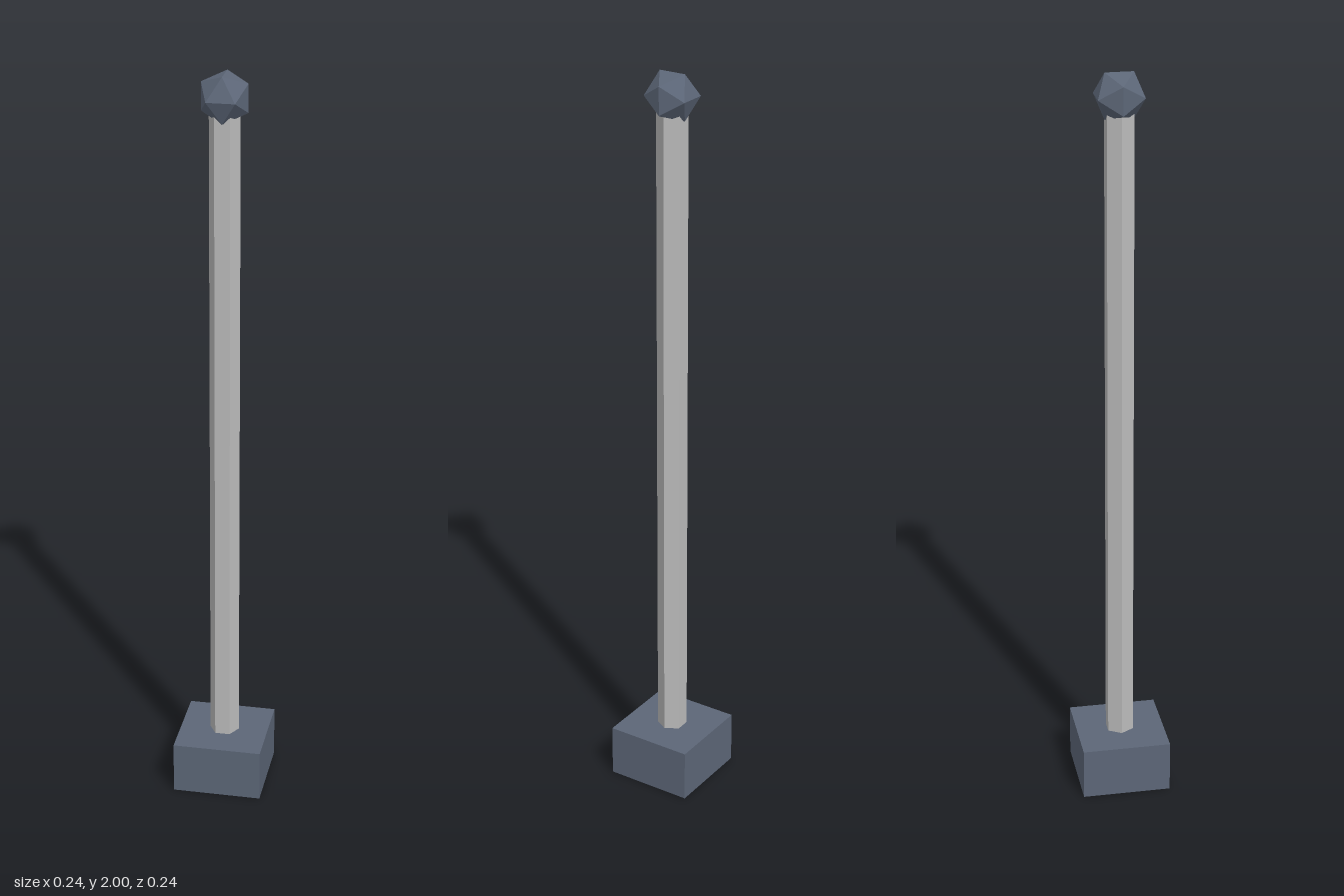
import * as THREE from 'three';

export function createModel() {
  const group = new THREE.Group();
  const slate = new THREE.MeshStandardMaterial({ color: 0x5c6677, flatShading: true });
  slate.name = 'slate';
  const grey = new THREE.MeshStandardMaterial({ color: 0xbababa, flatShading: true });
  grey.name = 'light grey';

  function add(name, geometry, material, y) {
    const mesh = new THREE.Mesh(geometry, material);
    mesh.name = name;
    mesh.position.y = y;
    group.add(mesh);
    return mesh;
  }

  // Square foot block
  add('base', new THREE.BoxGeometry(0.24, 0.143, 0.24), slate, 0.0715);

  // Hexagonal post, corners pointing along x, rising from inside the base into the finial
  const bottom = 0.003, top = 1.92;
  const post = new THREE.CylinderGeometry(0.04, 0.04, top - bottom, 6);
  post.rotateY(Math.PI / 6);
  add('post', post, grey, (top + bottom) / 2);

  // Faceted finial, turned so its top edge runs along z
  const radius = 0.07;
  const finial = new THREE.IcosahedronGeometry(radius, 0);
  finial.rotateY(Math.PI / 2);
  add('finial', finial, slate, 2 - radius * 0.8507);

  return group;
}
